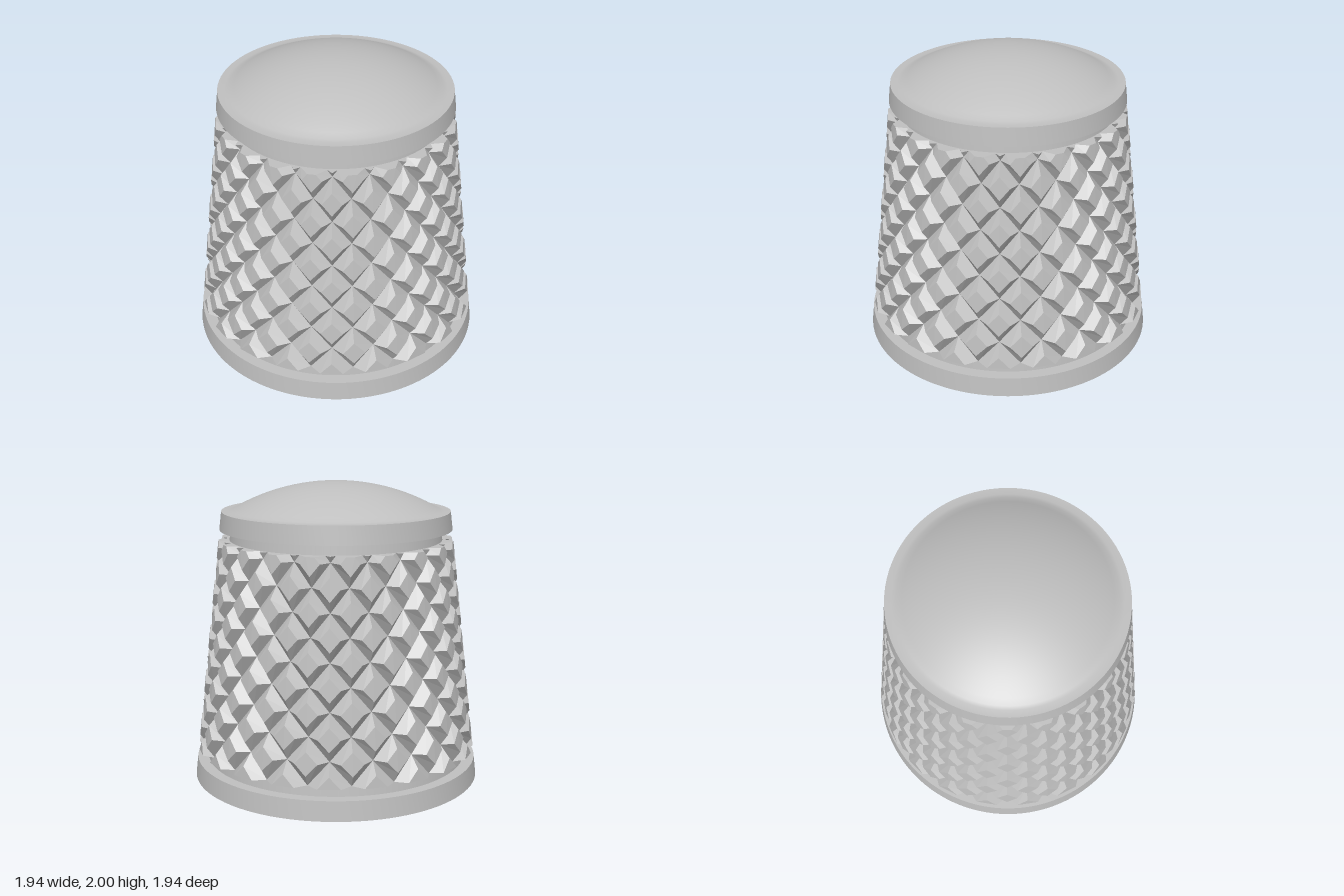
import * as THREE from 'three';
import { toCreasedNormals } from 'three/addons/utils/BufferGeometryUtils.js';

const BOTTOM = 0.2, TOP = 1.62;      // knurled band
const COUNT = 20, ROW = 0.153;       // diamonds around, half diamond height
const CORE = 0.074, VALLEY = 0.064;  // depths below the outer cone
const FLAT = 0.5;                    // size of a diamond's flat top

const coneRadius = (y) => 0.97 - 0.116 * y;

// Keep the part of a polygon of [angle, y, depth] points where sign * (y - limit) >= 0
function clip(poly, limit, sign) {
  const out = [];
  poly.forEach((a, i) => {
    const b = poly[(i + 1) % poly.length];
    const da = sign * (a[1] - limit), db = sign * (b[1] - limit);
    if (da >= -1e-9) out.push(a);
    if ((da > 1e-9 && db < -1e-9) || (da < -1e-9 && db > 1e-9)) {
      const t = da / (da - db);
      out.push(a.map((v, k) => (k === 1 ? limit : v + (b[k] - v) * t)));
    }
  });
  return out;
}

// Truncated pyramids in a diamond grid wrapped round the cone
function knurlGeometry() {
  const positions = [];
  const place = ([angle, y, depth]) => {
    const r = coneRadius(y) - depth;
    return [r * Math.sin(angle), y, r * Math.cos(angle)];
  };
  const fan = (poly) => {
    for (let i = 1; i < poly.length - 1; i++) {
      for (const p of [poly[0], poly[i], poly[i + 1]]) positions.push(...place(p));
    }
  };
  const addFace = (face) => {
    const poly = clip(clip(face, BOTTOM, 1), TOP, -1);
    const ys = poly.map((p) => p[1]);
    if (poly.length < 3 || Math.max(...ys) - Math.min(...ys) < 1e-6) return;
    fan(poly);
    // Close the cut ends of the band down to the core
    poly.forEach((a, i) => {
      const b = poly[(i + 1) % poly.length];
      for (const end of [BOTTOM, TOP]) {
        if (Math.abs(a[1] - end) < 1e-6 && Math.abs(b[1] - end) < 1e-6) {
          fan([a, [a[0], end, CORE], [b[0], end, CORE], b]);
        }
      }
    });
  };

  const half = Math.PI / COUNT;
  const corners = [[0, -1], [1, 0], [0, 1], [-1, 0]];
  for (let row = 0; row <= 10; row++) {
    for (let i = 0; i < COUNT; i++) {
      const angle = (2 * i + (row % 2)) * half, y = BOTTOM + row * ROW;
      const ring = (scale, depth) =>
        corners.map(([u, v]) => [angle + u * half * scale, y + v * ROW * scale, depth]);
      const base = ring(1, VALLEY), flat = ring(FLAT, 0);
      addFace(flat);
      for (let k = 0; k < 4; k++) {
        const n = (k + 1) % 4;
        addFace([base[k], base[n], flat[n], flat[k]]);
      }
    }
  }
  const geometry = new THREE.BufferGeometry();
  geometry.setAttribute('position', new THREE.Float32BufferAttribute(positions, 3));
  geometry.computeVertexNormals();
  return geometry;
}

// Turned body: blind bore, base rim, grooves, core, collar and domed top
function bodyGeometry() {
  const core = (y) => [coneRadius(y) - CORE, y];
  const outer = (y) => [coneRadius(y), y];
  const profile = [
    [0, 1.4], [0.607, 1.4], [0.607, 0],
    outer(0), outer(0.13), core(0.13),
    core(1.69), outer(1.69), outer(1.81), [0.715, 1.81],
  ];
  // Dome arc with a soft foot
  const R = 1.385, steps = 16, start = Math.asin(0.69 / R);
  for (let i = 0; i <= steps; i++) {
    const a = start * (1 - i / steps);
    profile.push([R * Math.sin(a), 2 - R + R * Math.cos(a)]);
  }
  const points = profile.map(([x, y]) => new THREE.Vector2(x, y));
  return toCreasedNormals(new THREE.LatheGeometry(points, 96), 0.6);
}

export function createModel() {
  const group = new THREE.Group();
  group.name = 'knurledKnob';
  const metal = new THREE.MeshStandardMaterial({ color: 0xbfbfbf });
  metal.name = 'plain grey metal';

  const body = new THREE.Mesh(bodyGeometry(), metal);
  body.name = 'turnedBody';
  const knurl = new THREE.Mesh(knurlGeometry(), metal);
  knurl.name = 'knurledGrip';
  group.add(body, knurl);
  return group;
}
